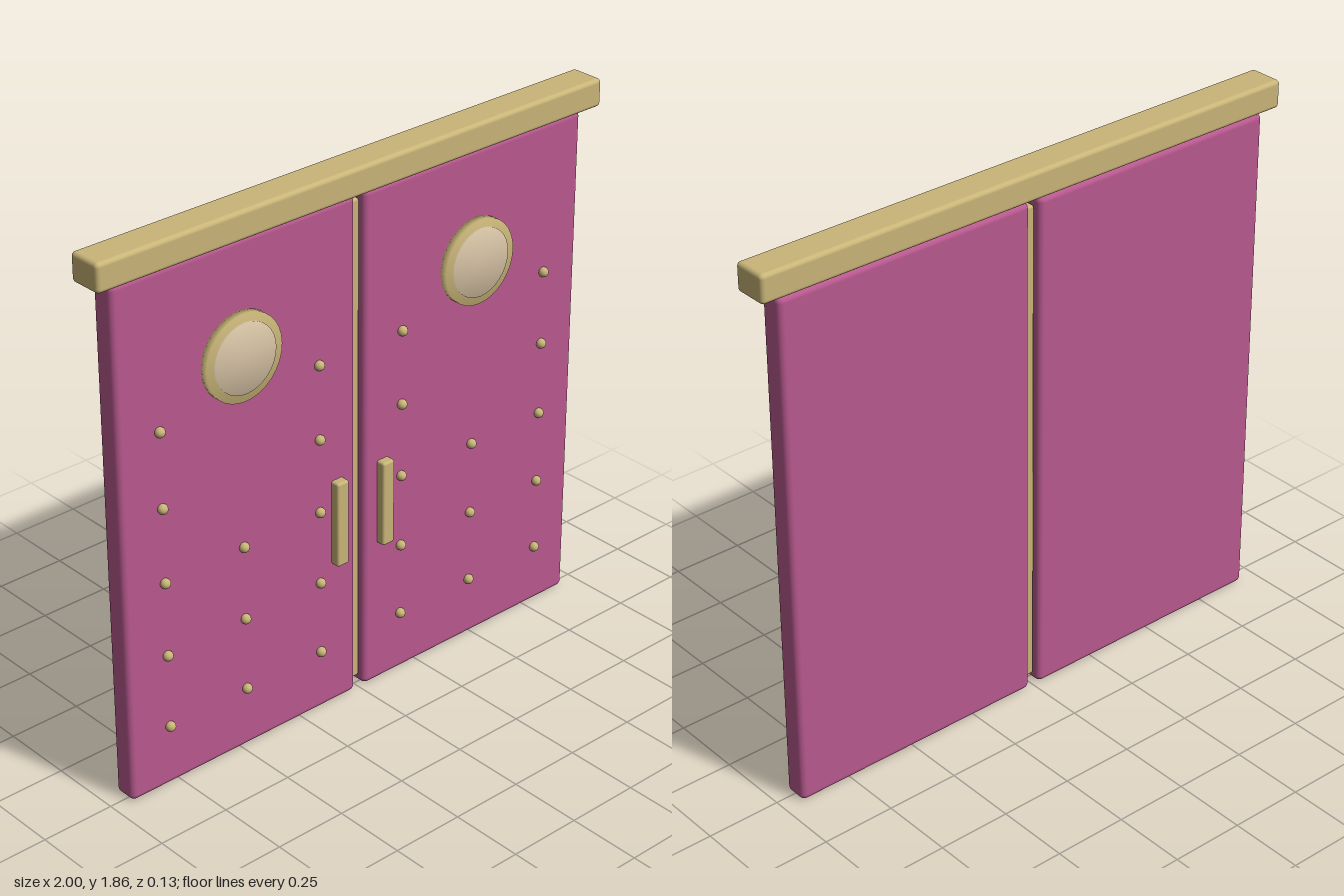
import * as THREE from 'three';
import { mergeVertices } from 'three/addons/utils/BufferGeometryUtils.js';
import { RoundedBoxGeometry } from 'three/addons/geometries/RoundedBoxGeometry.js';

const material = (name, color) => {
  const m = new THREE.MeshStandardMaterial({ color });
  m.name = name;
  return m;
};

export function createModel() {
  const paint = material('magenta paint', 0xb9598f);
  const brass = material('brass', 0xc9b578);
  const glass = material('beige glass', 0xd8c4a6);
  const group = new THREE.Group();

  const add = (name, geometry, mat, x, y, z, parent = group) => {
    const mesh = new THREE.Mesh(geometry, mat);
    mesh.name = name;
    mesh.position.set(x, y, z);
    parent.add(mesh);
    return mesh;
  };

  // Disc facing +z, with normals blended softly over its rim
  const softDisc = (radius, depth) => {
    const g = new THREE.CylinderGeometry(radius, radius, depth, 32);
    g.deleteAttribute('normal');
    g.deleteAttribute('uv');
    const merged = mergeVertices(g.rotateX(Math.PI / 2), 1e-4);
    merged.computeVertexNormals();
    return merged;
  };

  const panelGeo = new RoundedBoxGeometry(0.919, 1.76, 0.084, 3, 0.02);
  const handleGeo = new RoundedBoxGeometry(0.048, 0.3, 0.04, 2, 0.008);
  const frameGeo = softDisc(0.145, 0.032);
  const glassGeo = softDisc(0.117, 0.03);
  const studGeo = new THREE.SphereGeometry(0.017, 16, 12);

  // Top rail and the strip closing the gap between the doors
  add('topRail', new RoundedBoxGeometry(2, 0.095, 0.12, 3, 0.014), brass, 0, 1.81, -0.002);
  add('centreStrip', new RoundedBoxGeometry(0.032, 1.7, 0.04, 2, 0.008), brass, 0, 0.882, -0.01);

  // Two mirrored doors
  for (const side of [-1, 1]) {
    const door = new THREE.Group();
    door.name = side > 0 ? 'leftDoor' : 'rightDoor';
    group.add(door);
    add('panel', panelGeo, paint, side * 0.478, 0.88, -0.01, door);
    add('handle', handleGeo, brass, side * 0.096, 0.67, 0.043, door);
    add('portholeFrame', frameGeo, brass, side * 0.479, 1.387, 0.042, door);
    add('portholeGlass', glassGeo, glass, side * 0.479, 1.387, 0.049, door);

    // Stud grid: outer columns have five, the middle one three
    [0.171, 0.479, 0.786].forEach((x, column) => {
      const count = column === 1 ? 3 : 5;
      for (let row = 0; row < count; row++) {
        add('stud', studGeo, brass, side * x, 0.217 + row * 0.257, 0.038, door);
      }
    });
  }
  return group;
}
